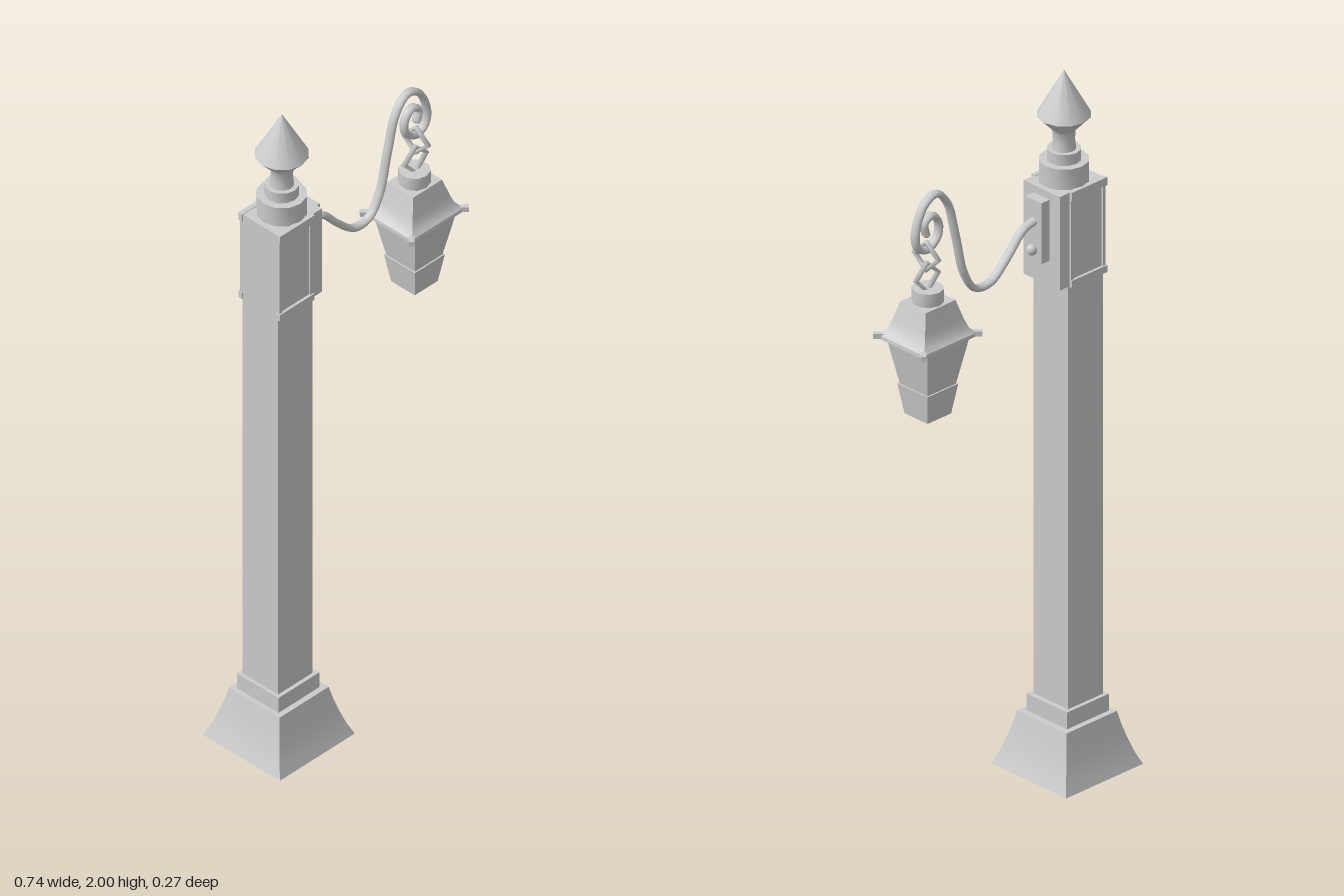
import * as THREE from 'three';
import { toCreasedNormals } from 'three/addons/utils/BufferGeometryUtils.js';

const POST_X = -0.235;
const LAMP_X = 0.263;

export function createModel() {
  const model = new THREE.Group();
  const grey = new THREE.MeshStandardMaterial({ color: 0xcccccc });
  const greyOpen = new THREE.MeshStandardMaterial({ color: 0xcccccc, side: THREE.DoubleSide });

  const add = (name, geometry, parent = model, material = grey) => {
    const mesh = new THREE.Mesh(geometry, material);
    mesh.name = name;
    parent.add(mesh);
    return mesh;
  };

  // Box given by its limits on each axis
  const box = (name, x0, x1, y0, y1, z0, z1) => {
    const g = new THREE.BoxGeometry(x1 - x0, y1 - y0, z1 - z0);
    return add(name, g.translate((x0 + x1) / 2, (y0 + y1) / 2, (z0 + z1) / 2));
  };

  // Turned profile of [half width, height] pairs, smooth along gentle curves
  const turned = (profile, sides) => {
    const points = profile.map(([r, y]) => new THREE.Vector2(r, y));
    return toCreasedNormals(new THREE.LatheGeometry(points, sides), 0.7);
  };

  // Square section profile: the radius is measured to the flat side
  const squareTurned = (profile) =>
    turned(profile.map(([r, y]) => [r * Math.SQRT2, y]), 4).rotateY(Math.PI / 4);

  // Flared foot, open underneath
  const foot = add('flaredFoot', squareTurned([
    [0.137, 0], [0.122, 0.035], [0.109, 0.075], [0.098, 0.115], [0.09, 0.152], [0, 0.152],
  ]), model, greyOpen);
  foot.position.x = -0.233;

  // Post
  box('postCollar', -0.31, -0.161, 0.152, 0.2, -0.074, 0.074);
  box('post', -0.3, -0.175, 0.2, 1.42, -0.063, 0.063);

  // Head box with framed doors on the front and back
  box('headBox', -0.302, -0.143, 1.417, 1.686, -0.066, 0.066);
  for (const s of [1, -1]) {
    const door = (name, x0, x1, y0, y1, depth) => {
      const a = s * 0.06, b = s * depth;
      box(name, x0, x1, y0, y1, Math.min(a, b), Math.max(a, b));
    };
    door('doorTopRail', -0.305, -0.178, 1.665, 1.688, 0.074);
    door('doorBottomRail', -0.305, -0.178, 1.415, 1.435, 0.074);
    door('doorStile', -0.19, -0.178, 1.435, 1.665, 0.07);
    door('doorStile', -0.302, -0.292, 1.435, 1.665, 0.07);
  }

  // Finial on the head
  const finial = add('finial', turned([
    [0.066, 1.685], [0.066, 1.745], [0.045, 1.745], [0.045, 1.776], [0.032, 1.776],
    [0.029, 1.8], [0.031, 1.83], [0.071, 1.872], [0, 2],
  ], 12));
  finial.position.x = -0.222;

  // Wall plate and knob
  box('armPlate', -0.145, -0.113, 1.49, 1.665, -0.029, 0.029);
  add('plateKnob', new THREE.SphereGeometry(0.015, 10, 8)).position.set(-0.108, 1.523, 0);

  // Scrolled arm, wider than it is thick
  const path = [
    [-0.12, 1.605], [-0.075, 1.592], [-0.02, 1.535], [0.04, 1.485], [0.095, 1.487], [0.135, 1.545],
    [0.165, 1.665], [0.195, 1.77], [0.235, 1.81], [0.278, 1.79], [0.308, 1.715], [0.298, 1.673],
    [0.267, 1.66], [0.23, 1.685], [0.226, 1.725], [0.25, 1.754], [0.277, 1.738], [0.27, 1.706],
  ].map(([x, y]) => new THREE.Vector3(x, y, 0));
  const arm = add('scrollArm', new THREE.TubeGeometry(new THREE.CatmullRomCurve3(path), 80, 0.0098, 8));
  arm.scale.z = 1.4;
  for (const end of [path[0], path[path.length - 1]]) {
    const cap = add('armEnd', new THREE.SphereGeometry(0.0098, 8, 6));
    cap.position.copy(end);
    cap.scale.z = 1.4;
  }

  // Two diamond chain links
  const link = new THREE.TorusGeometry(0.04, 0.0075, 6, 4);
  const upperLink = add('upperLink', link);
  upperLink.position.set(0.268, 1.642, 0);
  upperLink.rotation.y = Math.PI / 2 + 0.12;
  add('lowerLink', link).position.set(0.266, 1.582, 0);

  // Hanging lantern
  const lantern = new THREE.Group();
  lantern.name = 'lantern';
  lantern.position.x = LAMP_X;
  model.add(lantern);

  const cap = new THREE.CylinderGeometry(0.042, 0.042, 0.04, 10);
  add('lanternCap', toCreasedNormals(cap, 0.8).translate(0, 1.53, 0), lantern);

  const roof = add('lanternRoof', squareTurned([
    [0, 1.408], [0.096, 1.408], [0.095, 1.418], [0.08, 1.43], [0.069, 1.458], [0.053, 1.512], [0, 1.512],
  ]), lantern);
  roof.scale.z = 0.88;

  add('lanternGlass', squareTurned([
    [0, 1.27], [0.05, 1.27], [0.076, 1.412], [0, 1.412],
  ]), lantern);
  add('lanternBase', squareTurned([
    [0, 1.188], [0.042, 1.188], [0.055, 1.274], [0, 1.274],
  ]), lantern);

  // Spurs on the roof corners
  for (const sx of [1, -1]) {
    for (const sz of [1, -1]) {
      const spur = add('roofSpur', new THREE.BoxGeometry(0.036, 0.014, 0.014), lantern);
      spur.position.set(sx * 0.092, 1.416, sz * 0.08);
      spur.rotation.y = -Math.atan2(sz, sx);
    }
  }

  return model;
}
